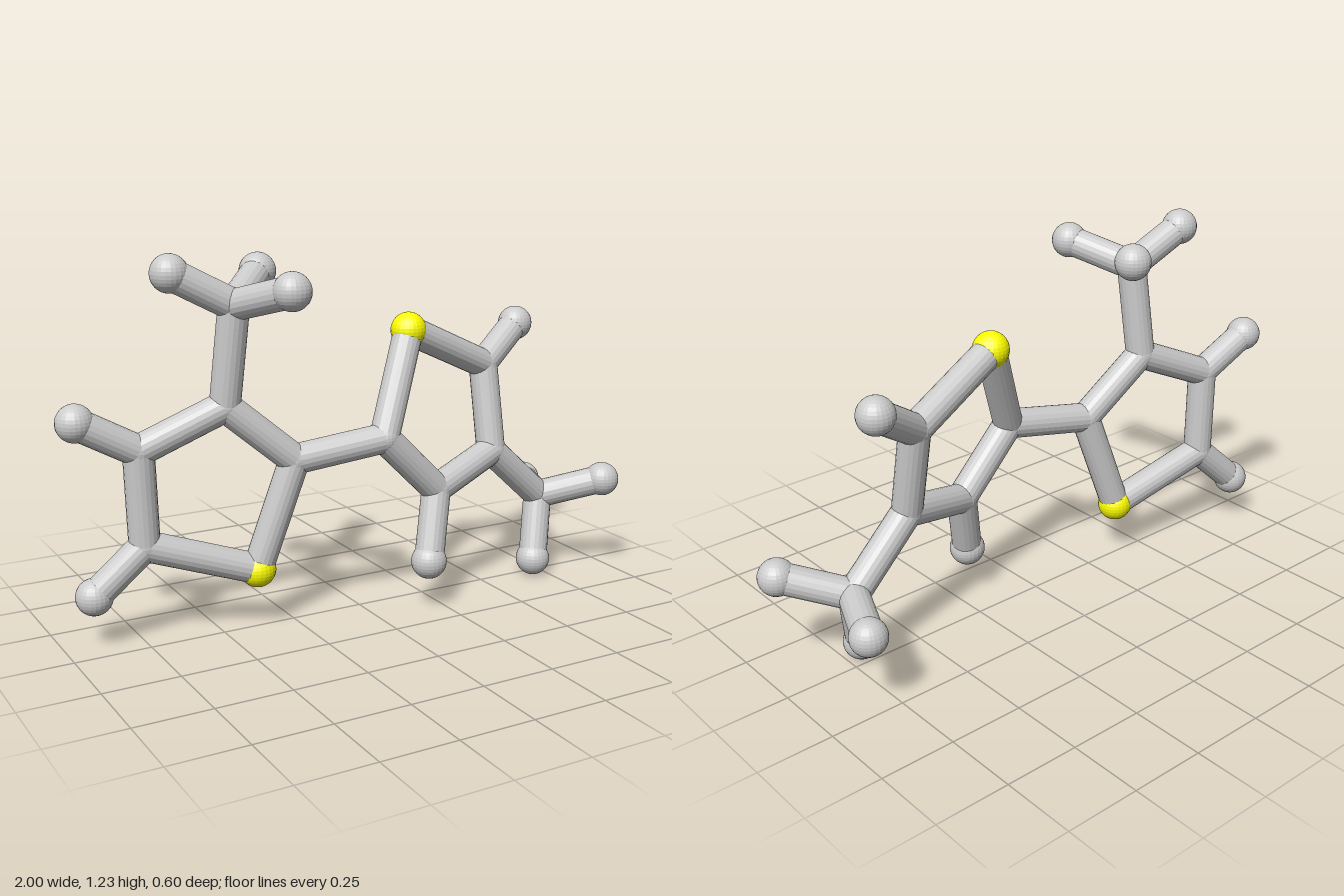
import * as THREE from 'three';

const BOND_R = 0.05, JOINT_R = 0.051, END_R = 0.06;

// Atom positions: ring corners, ring sulfurs, methyl carbons, hydrogens
const atoms = {
  // left ring
  sulfurA: [-0.38, 0.20, 0.005],
  carbonA2: [-0.26, 0.56, 0.04],
  carbonA3: [-0.48, 0.75, 0.0],
  carbonA4: [-0.75, 0.63, -0.05],
  carbonA5: [-0.74, 0.32, -0.055],
  hydrogenA4: [-0.94, 0.735, -0.07],
  hydrogenA5: [-0.90, 0.17, -0.085],
  // left methyl
  carbonMethylA: [-0.455, 1.07, 0.03],
  hydrogenMethylA1: [-0.65, 1.175, 0.0],
  hydrogenMethylA2: [-0.36, 1.13, 0.24],
  hydrogenMethylA3: [-0.30, 1.148, -0.13],
  // right ring
  sulfurB: [0.19, 0.935, -0.005],
  carbonB2: [0.04, 0.605, 0.095],
  carbonB3: [0.25, 0.40, 0.085],
  carbonB4: [0.53, 0.48, 0.0],
  carbonB5: [0.53, 0.78, -0.06],
  hydrogenB3: [0.19, 0.17, 0.14],
  hydrogenB5: [0.71, 0.90, -0.127],
  // right methyl
  carbonMethylB: [0.755, 0.28, -0.02],
  hydrogenMethylB1: [0.70, 0.062, 0.037],
  hydrogenMethylB2: [0.935, 0.348, 0.12],
  hydrogenMethylB3: [0.85, 0.275, -0.24],
};

const loop = (names) => names.map((n, i) => [n, names[(i + 1) % names.length]]);
const ring = (s) => loop(['sulfur' + s, ...[2, 3, 4, 5].map((i) => `carbon${s}${i}`)]);
const methyl = (s) => [1, 2, 3].map((i) => ['carbonMethyl' + s, `hydrogenMethyl${s}${i}`]);

const bonds = [
  ...ring('A'), ...ring('B'), ...methyl('A'), ...methyl('B'),
  ['carbonA2', 'carbonB2'],
  ['carbonA3', 'carbonMethylA'], ['carbonB4', 'carbonMethylB'],
  ['carbonA4', 'hydrogenA4'], ['carbonA5', 'hydrogenA5'],
  ['carbonB3', 'hydrogenB3'], ['carbonB5', 'hydrogenB5'],
];

export function createModel() {
  const model = new THREE.Group();
  model.name = 'stickMolecule';
  const grey = new THREE.MeshStandardMaterial({ color: 0xcccccc, flatShading: true });
  const yellow = new THREE.MeshStandardMaterial({ color: 0xffff00, flatShading: true });

  // Atoms: small joints at carbons, larger balls at the ends and sulfurs
  const joint = new THREE.SphereGeometry(JOINT_R, 24, 16);
  const ball = new THREE.SphereGeometry(END_R, 24, 16);
  for (const [name, p] of Object.entries(atoms)) {
    const mesh = new THREE.Mesh(
      name.startsWith('carbon') ? joint : ball,
      name.startsWith('sulfur') ? yellow : grey,
    );
    mesh.name = name;
    mesh.position.set(...p);
    model.add(mesh);
  }

  // Bonds: rods from atom to atom
  const up = new THREE.Vector3(0, 1, 0);
  for (const [a, b] of bonds) {
    const start = new THREE.Vector3(...atoms[a]);
    const end = new THREE.Vector3(...atoms[b]);
    const dir = end.clone().sub(start);
    const rod = new THREE.Mesh(new THREE.CylinderGeometry(BOND_R, BOND_R, dir.length(), 20), grey);
    rod.name = `bond ${a} to ${b}`;
    rod.position.copy(start).lerp(end, 0.5);
    rod.quaternion.setFromUnitVectors(up, dir.normalize());
    model.add(rod);
  }
  return model;
}
